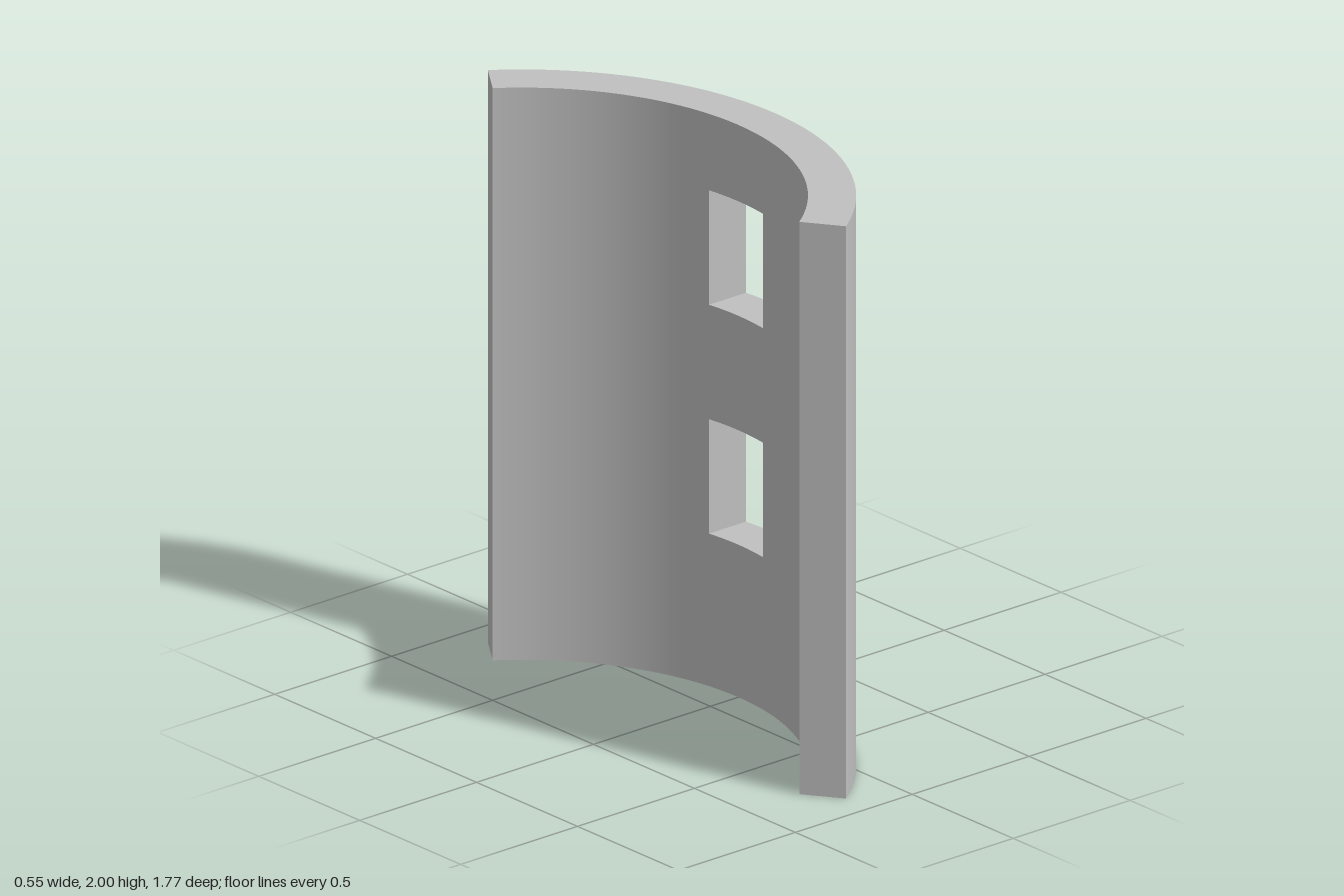
import * as THREE from 'three';

const OUTER = 1.083, INNER = 0.927;        // wall radii
const CENTRE_X = 0.276 - OUTER;            // axis of the arc
const HALF_ARC = THREE.MathUtils.degToRad(55);
const HALF_WINDOW = 0.134;                 // windows are cut straight along x
const LEVELS = [0, 0.533, 0.933, 1.333, 1.733, 2];
const SPANS = [20, 6, 20];                 // segments beside, across and beside the windows

// Angles along the arc, with breaks exactly at the window jambs
function columnAngles(radius) {
  const w = Math.asin(HALF_WINDOW / radius);
  const stops = [-HALF_ARC, -w, w, HALF_ARC];
  const angles = [-HALF_ARC];
  SPANS.forEach((n, s) => {
    for (let i = 1; i <= n; i++) angles.push(THREE.MathUtils.lerp(stops[s], stops[s + 1], i / n));
  });
  return angles;
}

// Collects quads, winding each one to face its normals
class QuadBuilder {
  positions = [];
  normals = [];

  add(points, normals) {
    const list = Array.isArray(normals) ? normals : points.map(() => normals);
    const face = points[1].clone().sub(points[0]).cross(points[2].clone().sub(points[0]));
    const order = face.dot(list[0]) > 0 ? [0, 1, 2, 0, 2, 3] : [0, 2, 1, 0, 3, 2];
    for (const k of order) {
      this.positions.push(...points[k].toArray());
      this.normals.push(...list[k].toArray());
    }
  }

  build() {
    const g = new THREE.BufferGeometry();
    g.setAttribute('position', new THREE.Float32BufferAttribute(this.positions, 3));
    g.setAttribute('normal', new THREE.Float32BufferAttribute(this.normals, 3));
    return g;
  }
}

export function createModel() {
  const group = new THREE.Group();
  group.name = 'curvedWall';
  const grey = new THREE.MeshStandardMaterial({ color: 0xc0c0c0 });
  grey.name = 'grey';

  const outer = columnAngles(OUTER), inner = columnAngles(INNER);
  const last = outer.length - 1;
  const jambs = [SPANS[0], SPANS[0] + SPANS[1]];
  const at = (r, a, y) => new THREE.Vector3(CENTRE_X + r * Math.cos(a), y, r * Math.sin(a));
  const out = (i, y) => at(OUTER, outer[i], y);
  const inn = (i, y) => at(INNER, inner[i], y);
  const radial = (a, sign) => new THREE.Vector3(sign * Math.cos(a), 0, sign * Math.sin(a));
  const up = new THREE.Vector3(0, 1, 0), down = new THREE.Vector3(0, -1, 0);

  const addMesh = (name, fill) => {
    const quads = new QuadBuilder();
    fill(quads);
    const mesh = new THREE.Mesh(quads.build(), grey);
    mesh.name = name;
    group.add(mesh);
  };

  // Curved faces, leaving out the window cells
  const curvedFace = (point, angles, sign) => (q) => {
    for (let row = 0; row < LEVELS.length - 1; row++) {
      const y0 = LEVELS[row], y1 = LEVELS[row + 1];
      for (let i = 0; i < last; i++) {
        if (row % 2 === 1 && i >= jambs[0] && i < jambs[1]) continue;
        const n0 = radial(angles[i], sign), n1 = radial(angles[i + 1], sign);
        q.add([point(i, y0), point(i + 1, y0), point(i + 1, y1), point(i, y1)], [n0, n1, n1, n0]);
      }
    }
  };
  addMesh('outerFace', curvedFace(out, outer, 1));
  addMesh('innerFace', curvedFace(inn, inner, -1));

  // Horizontal strip through the wall's thickness
  const strip = (q, from, to, y, normal) => {
    for (let i = from; i < to; i++) q.add([out(i, y), out(i + 1, y), inn(i + 1, y), inn(i, y)], normal);
  };
  // Upright panel through the wall's thickness
  const panel = (q, i, y0, y1, normal) => q.add([out(i, y0), inn(i, y0), inn(i, y1), out(i, y1)], normal);

  addMesh('topEdge', (q) => strip(q, 0, last, 2, up));
  addMesh('bottomEdge', (q) => strip(q, 0, last, 0, down));
  addMesh('endFaces', (q) => {
    for (const [i, s] of [[0, -1], [last, 1]]) {
      panel(q, i, 0, 2, new THREE.Vector3(-Math.sin(HALF_ARC), 0, s * Math.cos(HALF_ARC)));
    }
  });

  // Sill, head and jambs of both windows
  [1, 3].forEach((row, k) => addMesh(['lowerWindowReveal', 'upperWindowReveal'][k], (q) => {
    const y0 = LEVELS[row], y1 = LEVELS[row + 1];
    strip(q, jambs[0], jambs[1], y0, up);
    strip(q, jambs[0], jambs[1], y1, down);
    panel(q, jambs[0], y0, y1, new THREE.Vector3(0, 0, 1));
    panel(q, jambs[1], y0, y1, new THREE.Vector3(0, 0, -1));
  }));

  return group;
}
